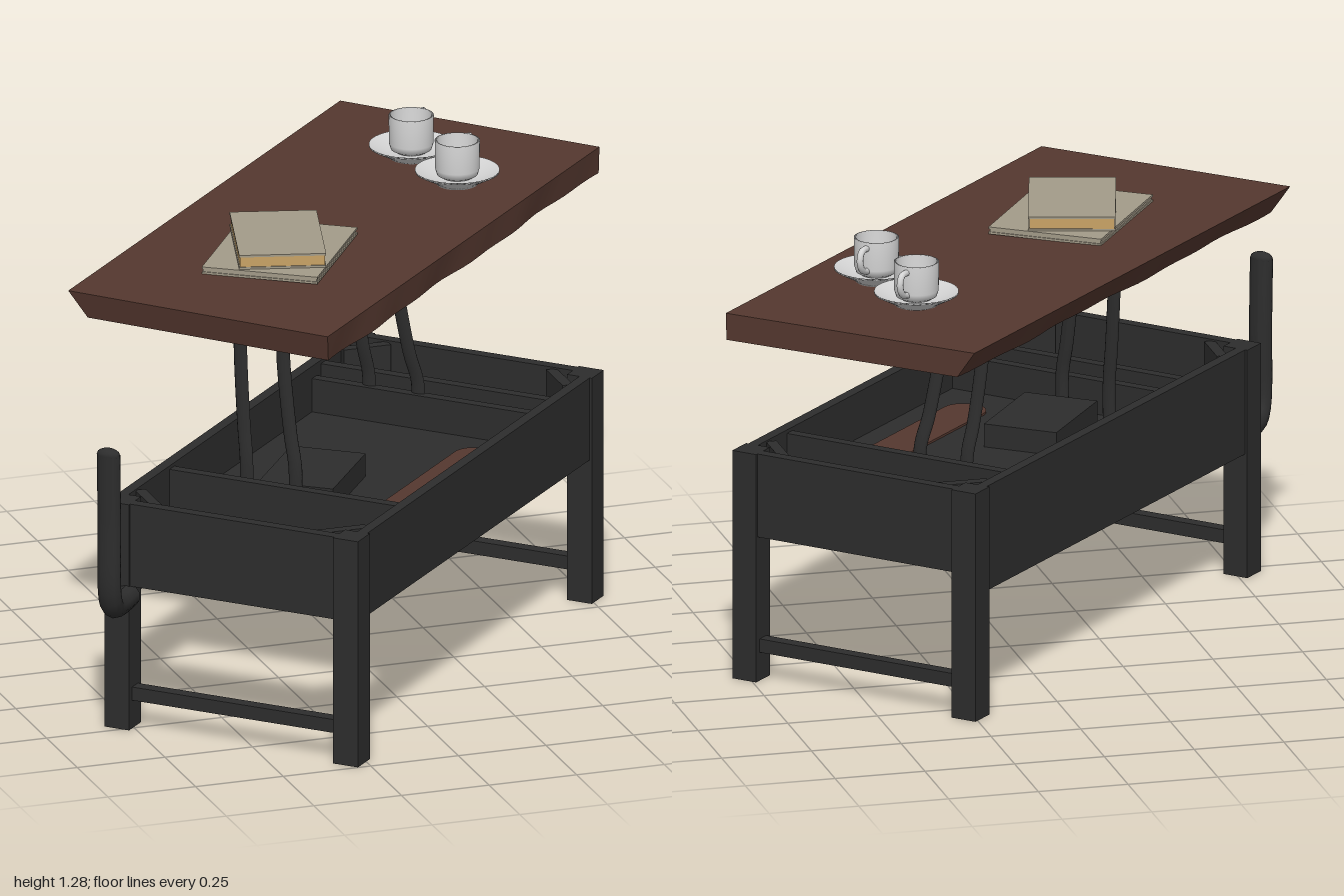
import * as THREE from 'three';

const mat = (name, color) => Object.assign(new THREE.MeshStandardMaterial({ color }), { name });

export function createModel() {
  const black = mat('black paint', 0x2d2d2d);
  const wood = mat('brown wood', 0x55382f);
  const white = mat('white china', 0xd4d4d4);
  white.side = THREE.DoubleSide;
  const cover = mat('grey book cover', 0xa39b89);
  const pages = mat('tan pages', 0xc8a265);

  const model = new THREE.Group();
  model.name = 'liftTopTable';
  // Table parts lie in a frame turned 45 degrees: x along its length, z across it
  const table = new THREE.Group();
  table.name = 'table';
  table.rotation.y = Math.PI / 4;
  model.add(table);

  const add = (parent, name, geo, material, x = 0, y = 0, z = 0) => {
    const m = new THREE.Mesh(geo, material);
    m.name = name;
    m.position.set(x, y, z);
    parent.add(m);
    return m;
  };
  // Box given by its lower and upper corner
  const box = (name, a, b, material = black, parent = table) =>
    add(parent, name, new THREE.BoxGeometry(b[0] - a[0], b[1] - a[1], b[2] - a[2]), material,
      (a[0] + b[0]) / 2, (a[1] + b[1]) / 2, (a[2] + b[2]) / 2);
  // Smooth bar through points; flat < 1 thins its section along x
  const tube = (name, pts, r, { flat = 1, material = black, parent = table } = {}) => {
    const curve = new THREE.CatmullRomCurve3(
      pts.map(([x, y, z]) => new THREE.Vector3(x / flat, y, z)), false, 'centripetal');
    const geo = new THREE.TubeGeometry(curve, 24, r, 10).scale(flat, 1, 1);
    geo.computeVertexNormals();
    return add(parent, name, geo, material);
  };

  // Legs with diagonal corner braces
  const X0 = -0.872, X1 = 0.582, Z0 = -0.217, Z1 = 0.467, H = 0.645, h = 0.037;
  for (const [x, sx] of [[X0, 1], [X1, -1]]) {
    for (const [z, sz] of [[Z0, 1], [Z1, -1]]) {
      box('leg', [x - h, 0, z - h], [x + h, H, z + h]);
      const brace = add(table, 'cornerBrace', new THREE.BoxGeometry(0.135, 0.22, 0.03), black,
        x + sx * 0.052, 0.53, z + sz * 0.052);
      brace.rotation.y = sx * sz * Math.PI / 4;
    }
    // End apron and low stretcher
    box('endApron', [x - 0.016 - sx * 0.014, 0.41, Z0], [x + 0.016 - sx * 0.014, H, Z1]);
    box('stretcher', [x - 0.018, 0.08, Z0], [x + 0.018, 0.118, Z1]);
  }
  // Long aprons; the rear one is deeper
  box('frontApron', [X0, 0.41, Z1], [X1, H, Z1 + 0.03]);
  box('backApron', [X0, 0.35, Z0 - 0.03], [X1, H, Z0]);

  // Storage tray
  const floor = 0.515;
  box('trayFloor', [-0.58, floor - 0.02, Z0], [0.39, floor, Z1]);
  for (const [x, s] of [[-0.565, 1], [0.375, -1]]) {
    box('trayWall', [x - 0.015, floor - 0.02, Z0], [x + 0.015, 0.635, Z1]);
    box('trayRail', [x + s * 0.055 - 0.015, floor, Z0], [x + s * 0.055 + 0.015, 0.61, Z1]);
  }
  for (const x of [-0.43, 0.28]) {
    add(table, 'floorScrew', new THREE.CylinderGeometry(0.012, 0.012, 0.012, 12), black, x, floor - 0.024, 0.13);
  }
  // Long inlay with round ends
  const oval = new THREE.Shape();
  oval.absarc(0.25, 0, 0.06, -Math.PI / 2, Math.PI / 2);
  oval.absarc(-0.25, 0, 0.06, Math.PI / 2, Math.PI * 1.5);
  const inlayGeo = new THREE.ExtrudeGeometry(oval, { depth: 0.006, bevelEnabled: false, curveSegments: 16 });
  add(table, 'woodInlay', inlayGeo.rotateX(-Math.PI / 2), wood, -0.08, floor, 0.335);
  const stored = box('storedBook', [-0.41, floor, -0.05], [-0.11, floor + 0.065, 0.16]);
  stored.rotation.y = 0.15;

  // Lifting frame of flat posts and round bars
  for (const [x, top] of [[-0.433, -0.418], [0.327, 0.284]]) {
    for (const [z, zTop, yTop] of [[-0.058, -0.083, 1.05], [0.088, 0.045, 0.99]]) {
      tube('liftPost', [[x, floor, z], [x, 0.64, z], [x + (top - x) * 0.4, 0.73, z * 0.6 + zTop * 0.4],
        [top, 0.94, zTop], [top, yTop, zTop]], 0.02, { flat: 0.5 });
    }
    tube('liftArm', [[top, 0.985, 0.08], [top, 1.025, -0.05], [top, 1.075, -0.19]], 0.018, { flat: 0.7 });
  }
  tube('frontCrossbar', [[-0.42, 0.985, 0.07], [0.29, 0.985, 0.07]], 0.02);
  tube('backCrossbar', [[-0.41, 1.035, -0.04], [0.28, 1.035, -0.04]], 0.013);
  const lock = add(table, 'liftLock', new THREE.SphereGeometry(1, 20, 12), black, 0.07, 1.06, 0.04);
  lock.scale.set(0.13, 0.033, 0.06);

  // Flat crank lever beside the rear left leg
  const lever = tube('lever', [[-0.89, 0.38, -0.19], [-0.97, 0.38, -0.185], [-1.02, 0.395, -0.178],
    [-1.04, 0.44, -0.175], [-1.042, 0.65, -0.175], [-1.047, 0.835, -0.175]], 0.034, { flat: 0.6 });
  add(lever, 'leverTip', new THREE.SphereGeometry(0.034, 12, 8), black, -1.047, 0.834, -0.175).scale.set(0.6, 0.55, 1);

  // Slab top, undercut at the back and left, with a natural lower edge
  const slab = new THREE.BoxGeometry(1.69, 0.075, 0.775, 32, 2, 1);
  const p = slab.attributes.position;
  for (let i = 0; i < p.count; i++) {
    let x = p.getX(i), y = p.getY(i), z = p.getZ(i);
    const low = 0.5 - y / 0.075;
    const wave = 0.004 * Math.sin(x * 9) + 0.003 * Math.sin(x * 21 + 1);
    z += low * (z < 0 ? 0.05 + wave : wave - 0.006);
    if (x < -0.84) x += low * 0.02;
    y += -0.016 * z;
    p.setXYZ(i, x, y, z);
  }
  slab.computeVertexNormals();
  add(table, 'tabletop', slab, wood, 0.1, 1.121, -0.053);

  // Books
  const book = (name, w, t, d, x, y, z, turn, inner) => {
    const g = new THREE.Group();
    g.name = name;
    g.position.set(x, y, z);
    g.rotation.y = turn;
    const c = 0.006;
    box('lowerCover', [-w / 2, 0, -d / 2], [w / 2, c, d / 2], cover, g);
    box('upperCover', [-w / 2, t - c, -d / 2], [w / 2, t, d / 2], cover, g);
    box('pages', [-w / 2 + 0.003, c, -d / 2 + 0.003], [w / 2 - 0.003, t - c, d / 2 - 0.003], inner, g);
    model.add(g);
  };
  book('lowerBook', 0.322, 0.02, 0.415, -0.2, 1.16, 0.115, -0.6, cover);
  book('upperBook', 0.235, 0.04, 0.35, -0.203, 1.18, 0.11, -0.263, pages);

  // Cups on saucers
  const lathe = pts => new THREE.LatheGeometry(pts.map(q => new THREE.Vector2(...q)), 40);
  for (const [x, z] of [[0.393, -0.505], [0.443, -0.272]]) {
    const g = new THREE.Group();
    g.name = 'cupAndSaucer';
    g.position.set(x, 1.156, z);
    g.rotation.y = 0.85;
    model.add(g);
    add(g, 'saucer', lathe([[0, 0], [0.055, 0], [0.065, 0.01], [0.114, 0.036], [0.114, 0.041],
      [0.065, 0.02], [0, 0.018]]), white);
    add(g, 'cup', lathe([[0, 0.019], [0.04, 0.019], [0.055, 0.028], [0.06, 0.045], [0.061, 0.124],
      [0.055, 0.124], [0.054, 0.045], [0.045, 0.032], [0, 0.03]]), white);
    tube('handle', [[0.055, 0.108, 0], [0.088, 0.107, 0], [0.099, 0.084, 0], [0.086, 0.055, 0],
      [0.055, 0.043, 0]], 0.009, { material: white, parent: g });
  }
  return model;
}
